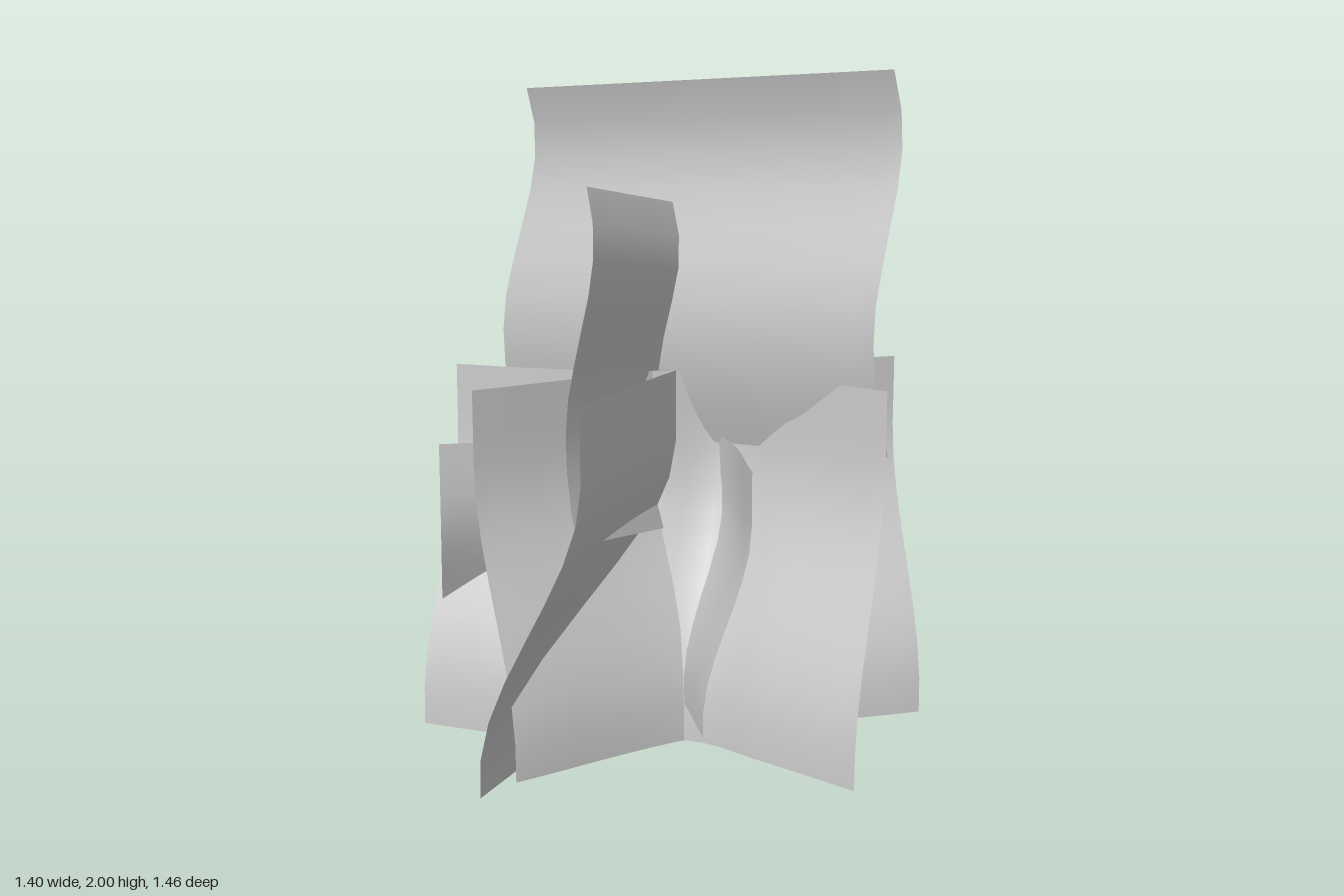
import * as THREE from 'three';

const ROWS = 10, COLS = 24;

// S-shaped lean of the lower leaves: upright at both ends, slanting between
const lean = t => THREE.MathUtils.smoothstep(t, 0.06, 0.8);

// Ripple of the tall leaves along their height
const ripple = new THREE.CatmullRomCurve3(
  [0, 0.04, 0.062, 0.062, 0.035, 0, -0.032, -0.036, 0].map((d, i) => new THREE.Vector3(d, i / 8, 0))
);

export function createModel() {
  const group = new THREE.Group();
  const material = new THREE.MeshStandardMaterial({ color: 0xcccccc, side: THREE.DoubleSide });

  // A wavy sheet between a bottom and a top edge, each given as [x, y, z] points
  function addSheet(name, low, high, blend, sway = new THREE.Vector3()) {
    const bottom = new THREE.CatmullRomCurve3(low.map(p => new THREE.Vector3(...p)));
    const top = new THREE.CatmullRomCurve3(high.map(p => new THREE.Vector3(...p)));
    const geometry = new THREE.PlaneGeometry(1, 1, COLS, ROWS);
    const position = geometry.attributes.position;
    for (let r = 0, i = 0; r <= ROWS; r++) {
      const t = 1 - r / ROWS;
      for (let c = 0; c <= COLS; c++, i++) {
        const a = bottom.getPoint(c / COLS), b = top.getPoint(c / COLS);
        const p = a.clone().lerp(b, blend(t));
        p.y = THREE.MathUtils.lerp(a.y, b.y, t);
        p.addScaledVector(sway, ripple.getPoint(t).x);
        position.setXYZ(i, p.x, p.y, p.z);
      }
    }
    geometry.computeVertexNormals();
    const mesh = new THREE.Mesh(geometry, material);
    mesh.name = name;
    group.add(mesh);
  }

  // Lower leaves: level edges, given in plan as [x, z]
  const addLeaf = (name, y0, y1, low, high) =>
    addSheet(name, low.map(([x, z]) => [x, y0, z]), high.map(([x, z]) => [x, y1, z]), lean);

  // Three large leaves standing on the ground
  addLeaf('largeLeafAcross', 0, 1.105,
    [[-0.685, 0.32], [-0.38, 0.28], [-0.08, 0.18], [0.13, 0.075], [0.37, 0.125], [0.70, 0.21]],
    [[-0.70, 0.08], [-0.40, 0.04], [-0.10, -0.06], [0.11, -0.18], [0.35, -0.12], [0.685, -0.035]]);
  addLeaf('largeLeafDiagonal', 0, 1.105,
    [[-0.18, 0.59], [0.14, 0.03], [0.66, -0.48]],
    [[-0.37, 0.49], [-0.03, -0.15], [0.47, -0.71]]);
  addLeaf('largeLeafLengthwise', 0, 1.105,
    [[-0.21, 0.73], [-0.26, 0.05], [-0.31, -0.63]],
    [[0.04, 0.59], [-0.02, -0.04], [-0.02, -0.64]]);

  // Three small leaves between them, clear of the ground
  addLeaf('smallLeafAcross', 0.115, 0.9,
    [[-0.54, -0.10], [-0.2, -0.11], [0.2, -0.23], [0.46, -0.14]],
    [[-0.54, -0.27], [-0.2, -0.28], [0.2, -0.42], [0.46, -0.31]]);
  addLeaf('smallLeafFrontLeft', 0.115, 0.9,
    [[-0.35, -0.30], [0.03, 0], [0.27, 0.30]],
    [[-0.22, -0.41], [0.14, -0.13], [0.40, 0.26]]);
  addLeaf('smallLeafFrontRight', 0.115, 0.9,
    [[-0.70, 0.19], [-0.27, -0.15], [0.08, -0.56]],
    [[-0.60, 0.33], [-0.17, -0.04], [0.19, -0.47]]);

  // Two tall, tilted leaves crossing above the clump
  const linear = t => t;
  addSheet('tallLeafAcross',
    [[-0.67, 0.86, -0.23], [0.66, 0.895, -0.125]],
    [[-0.60, 1.96, -0.20], [0.66, 2.0, -0.10]], linear, new THREE.Vector3(-0.4, 0, 1));
  addSheet('tallLeafLengthwise',
    [[-0.03, 0.69, 0.49], [-0.03, 0.55, -0.61]],
    [[-0.07, 1.68, 0.35], [-0.07, 1.545, -0.73]], linear, new THREE.Vector3(-1, 0, -0.5));

  return group;
}
